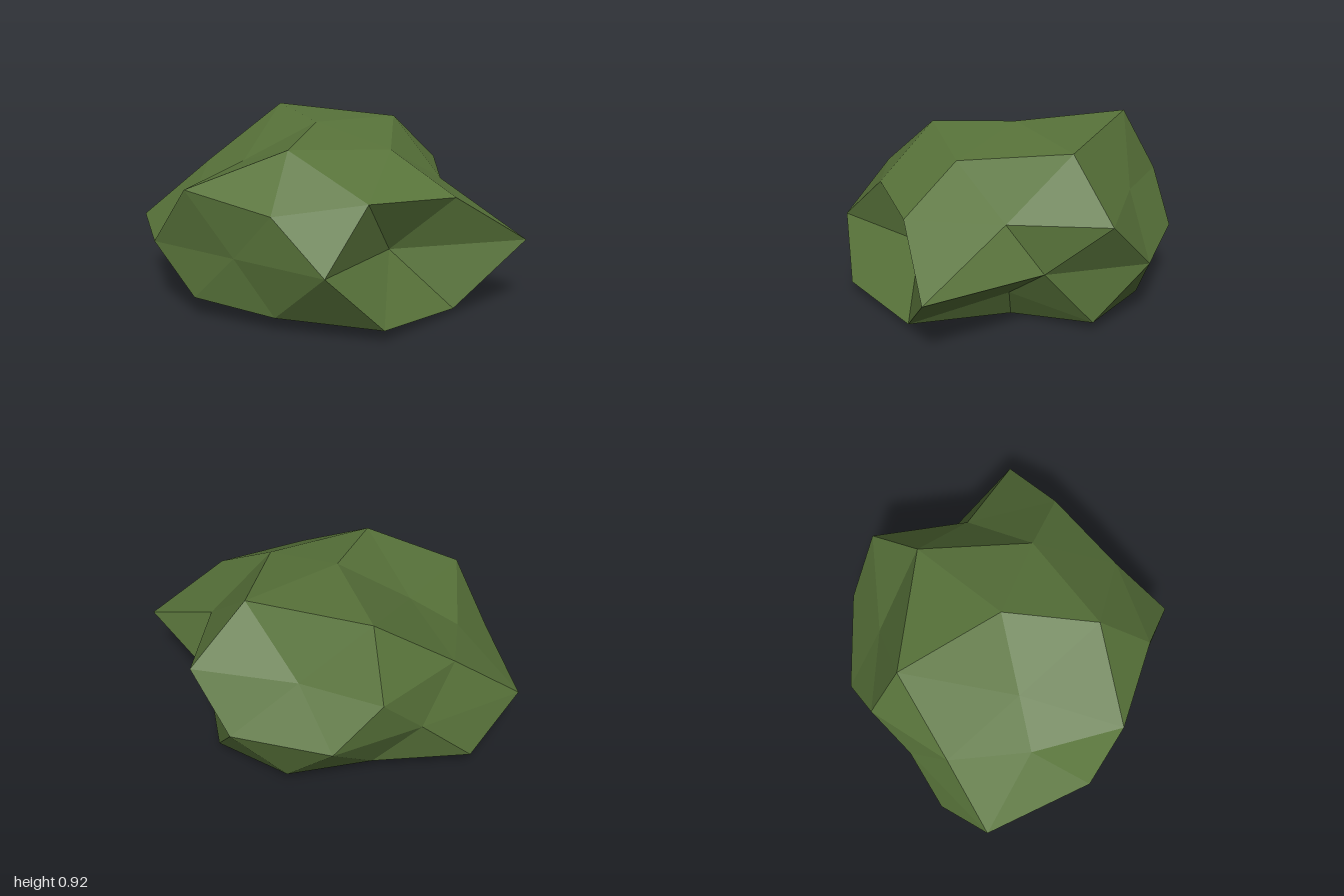
import * as THREE from 'three';

// Low-poly mossy boulder: an irregular faceted ball made of rings from top to bottom.
// Each ring runs around y, starting near +x and turning toward +z.
const top = [-0.05, 0.9, 0.05];
const crown = [[0.4, 0.8, 0.05], [0.1, 0.84, 0.52], [-0.36, 0.7, 0.27], [-0.53, 0.92, -0.3], [0.12, 0.88, -0.47]];
const shoulder = [
  [0.77, 0.6, 0.05], [0.53, 0.62, 0.48], [0.19, 0.58, 0.79], [-0.31, 0.65, 0.81], [-0.57, 0.54, 0.42],
  [-0.78, 0.62, 0.05], [-0.68, 0.58, -0.41], [-0.27, 0.6, -0.54], [0.21, 0.61, -0.79], [0.48, 0.59, -0.35],
];
const waist = [
  [0.5, 0.23], [0.5, 0.81], [-0.04, 0.78], [-0.57, 0.75], [-1, 0.35],
  [-0.76, -0.18], [-0.54, -0.62], [-0.06, -0.82], [0.38, -0.51], [1, -0.3],
].map(([x, z]) => [x, 0.34, z]);
const foot = [
  [0.77, 0.03, 0.05], [0.68, 0.06, 0.58], [0.17, 0.07, 0.74], [-0.29, 0.1, 0.78], [-0.62, 0.07, 0.45],
  [-0.92, 0.08, 0.05], [-0.55, 0.08, -0.3], [-0.25, 0.05, -0.62], [0.18, 0.05, -0.66], [0.38, 0.17, -0.28],
];
const base = [[0.39, 0, 0.28], [-0.14, 0, 0.42], [-0.43, 0, 0.01], [-0.14, 0, -0.32], [0.3, 0, -0.22]];
const bottom = [0, 0, 0];

function boulderGeometry() {
  const points = [];
  const tri = (a, b, c) => points.push(...a, ...b, ...c);
  const at = (ring, i) => ring[i % ring.length];

  // caps: five-sided fans widening to ten-sided rings
  for (let j = 0; j < 5; j++) {
    const k = 2 * j;
    const c0 = crown[j], c1 = at(crown, j + 1);
    const s0 = shoulder[k], s1 = shoulder[k + 1], s2 = at(shoulder, k + 2);
    tri(top, c1, c0);
    tri(c0, s1, s0);
    tri(c1, s2, s1);
    tri(c0, c1, s1);

    const b0 = base[j], b1 = at(base, j + 1);
    const f0 = foot[k], f1 = foot[k + 1], f2 = at(foot, k + 2);
    tri(f0, f1, b0);
    tri(f1, f2, b0);
    tri(f2, b1, b0);
    tri(b0, b1, bottom);
  }

  // sides: zigzag bands above and below the waist
  for (let k = 0; k < 10; k++) {
    const w0 = waist[k], w1 = at(waist, k + 1);
    const s0 = shoulder[k], s1 = at(shoulder, k + 1);
    const f0 = foot[k], f1 = at(foot, k + 1);
    tri(s0, s1, w0);
    tri(s1, w1, w0);
    tri(w0, f1, f0);
    tri(w0, w1, f1);
  }

  const geometry = new THREE.BufferGeometry();
  geometry.setAttribute('position', new THREE.Float32BufferAttribute(points, 3));
  geometry.computeVertexNormals(); // unshared corners give flat facets
  return geometry;
}

export function createModel() {
  const group = new THREE.Group();
  group.name = 'boulder';

  const moss = new THREE.MeshStandardMaterial({ color: 0x58733a });
  moss.name = 'mossGreen';
  moss.flatShading = true;

  const body = new THREE.Mesh(boulderGeometry(), moss);
  body.name = 'boulderBody';
  group.add(body);
  return group;
}
